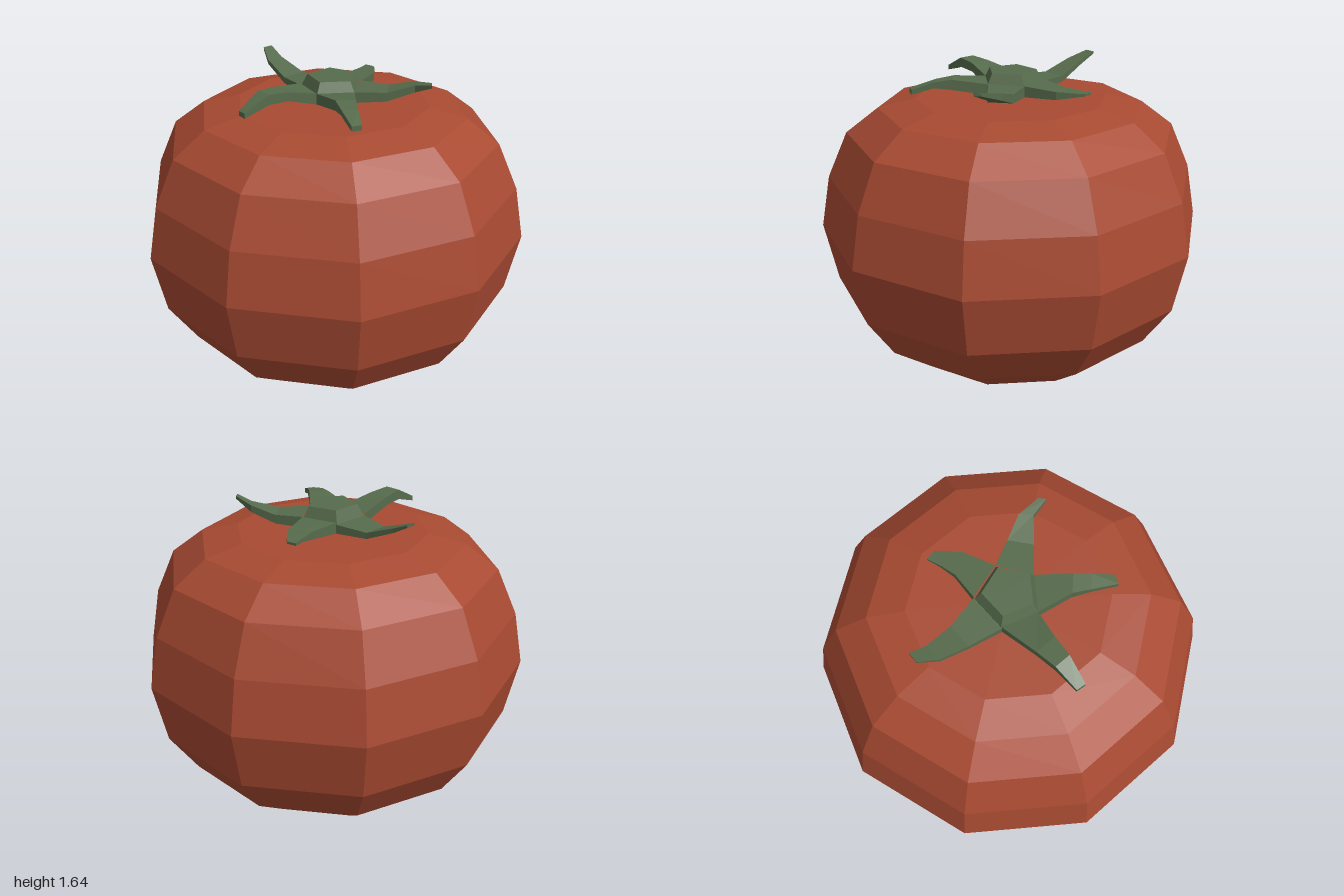
import * as THREE from 'three';

const skin = new THREE.MeshStandardMaterial({ color: 0xa84a32, flatShading: true });
const green = new THREE.MeshStandardMaterial({ color: 0x566b4c, flatShading: true });

// Faceted solid of revolution from [radius, height] pairs, first corner on +x
function turned(name, profile, sides, material) {
  const points = profile.map(([r, y]) => new THREE.Vector2(r, y));
  const geometry = new THREE.LatheGeometry(points, sides, Math.PI / 2).toNonIndexed();
  geometry.computeVertexNormals();
  const mesh = new THREE.Mesh(geometry, material);
  mesh.name = name;
  return mesh;
}

// Sepal: box sections from root to tip, each [leftX, leftZ, rightX, rightZ, bottom, top]
function sepal(sections) {
  const positions = [];
  const index = [];
  sections.forEach(([ax, az, bx, bz, low, high], i) => {
    positions.push(ax, high, az, bx, high, bz, bx, low, bz, ax, low, az);
    if (i === 0) return;
    for (let j = 0; j < 4; j++) {
      const k = (j + 1) % 4;
      const p = (i - 1) * 4, n = i * 4;
      index.push(p + j, p + k, n + k, p + j, n + k, n + j);
    }
  });
  const e = (sections.length - 1) * 4;
  index.push(e, e + 1, e + 2, e, e + 2, e + 3);
  let geometry = new THREE.BufferGeometry();
  geometry.setAttribute('position', new THREE.Float32BufferAttribute(positions, 3));
  geometry.setIndex(index);
  geometry = geometry.toNonIndexed();
  geometry.computeVertexNormals();
  const mesh = new THREE.Mesh(geometry, green);
  mesh.name = 'sepal';
  return mesh;
}

export function createModel() {
  const model = new THREE.Group();
  model.name = 'tomato';

  // Ten-sided fruit
  model.add(turned('fruit', [
    [0, 0], [0.27, 0], [0.57, 0.11], [0.79, 0.275], [0.935, 0.49], [1, 0.8],
    [0.95, 1.07], [0.845, 1.305], [0.68, 1.43], [0.49, 1.475], [0, 1.475],
  ], 10, skin));

  // Calyx: five-sided hub with five bent sepals
  const calyx = new THREE.Group();
  calyx.name = 'calyx';
  calyx.add(turned('hub', [[0, 1.505], [0.16, 1.505], [0.16, 1.55], [0.128, 1.61], [0, 1.61]], 5, green));

  const sepals = [
    // pointing to -x, tip raised
    [[-0.13, 0.1, -0.13, -0.1, 1.505, 1.55], [-0.3, 0.065, -0.3, -0.065, 1.512, 1.543],
      [-0.45, 0.045, -0.45, -0.045, 1.575, 1.598], [-0.54, 0, -0.54, -0.055, 1.625, 1.637]],
    // pointing to -z, low
    [[-0.13, -0.1, 0.05, -0.155, 1.505, 1.56], [-0.12, -0.25, -0.015, -0.31, 1.51, 1.55],
      [-0.14, -0.33, -0.08, -0.38, 1.525, 1.545], [-0.165, -0.4, -0.115, -0.41, 1.53, 1.542]],
    // pointing to +x and back, tip raised
    [[0.05, -0.155, 0.155, 0, 1.505, 1.56], [0.18, -0.22, 0.26, -0.12, 1.51, 1.555],
      [0.3, -0.275, 0.35, -0.225, 1.555, 1.59], [0.42, -0.27, 0.445, -0.24, 1.595, 1.61]],
    // pointing to +x and front, arched
    [[0.155, 0, 0.045, 0.15, 1.505, 1.56], [0.29, 0.12, 0.22, 0.19, 1.53, 1.582],
      [0.36, 0.175, 0.3, 0.23, 1.54, 1.57], [0.45, 0.24, 0.43, 0.285, 1.51, 1.535]],
    // pointing to +z, arched
    [[0.045, 0.15, -0.13, 0.1, 1.505, 1.56], [0.012, 0.3, -0.1, 0.3, 1.55, 1.595],
      [0, 0.41, -0.085, 0.41, 1.555, 1.605], [-0.02, 0.545, -0.07, 0.54, 1.515, 1.54]],
  ];
  for (const sections of sepals) calyx.add(sepal(sections));
  model.add(calyx);

  return model;
}
